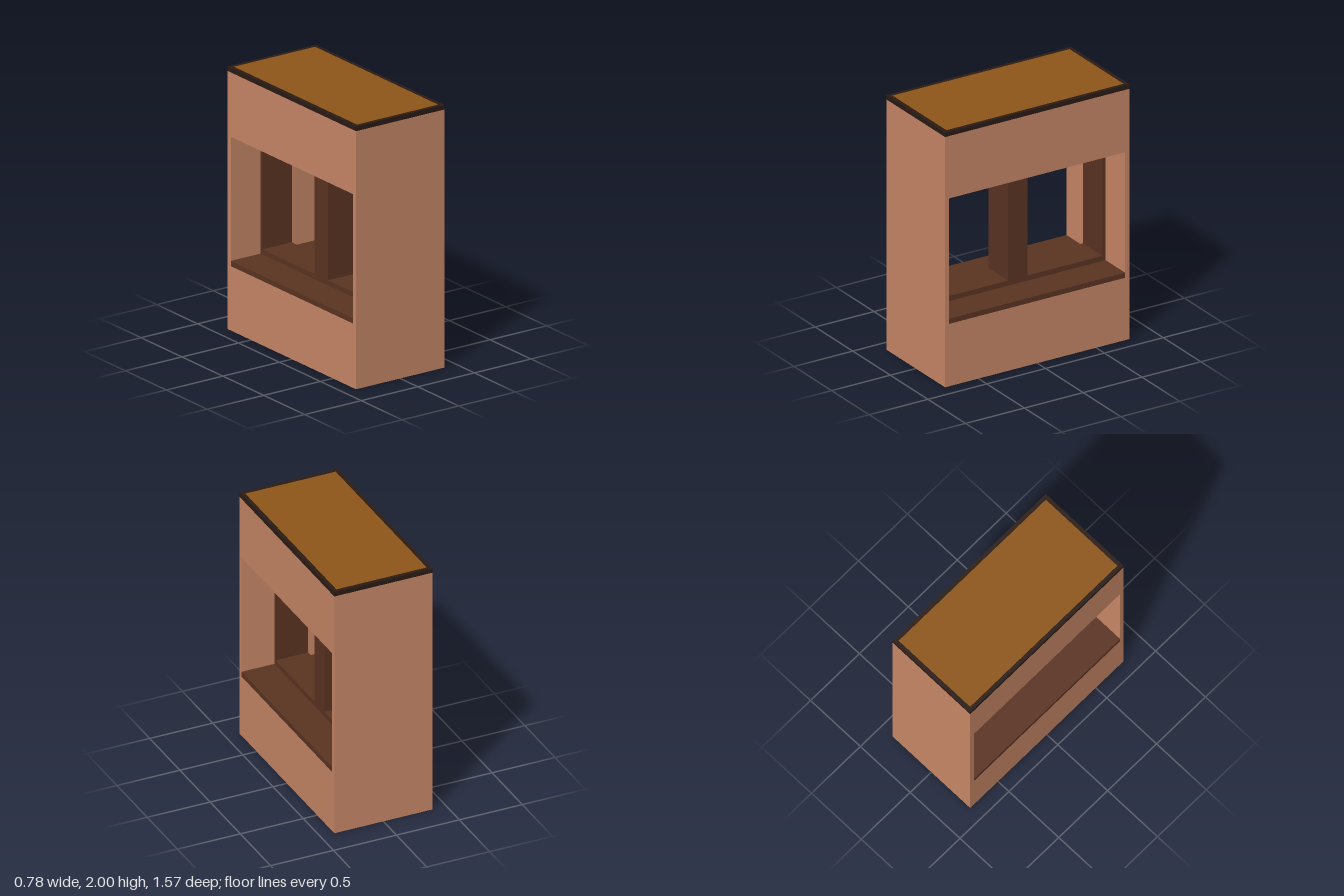
import * as THREE from 'three';

const mat = (color) => new THREE.MeshStandardMaterial({ color, flatShading: true });

// Rectangle outline [x0, y0, x1, y1]
function trace(path, [x0, y0, x1, y1]) {
  path.moveTo(x0, y0);
  path.lineTo(x1, y0);
  path.lineTo(x1, y1);
  path.lineTo(x0, y1);
  path.closePath();
  return path;
}

// Rectangular plate with rectangular holes, centred on its depth
function plate(outer, holes, depth) {
  const shape = trace(new THREE.Shape(), outer);
  shape.holes = holes.map((h) => trace(new THREE.Path(), h));
  return new THREE.ExtrudeGeometry(shape, { depth, bevelEnabled: false }).translate(0, 0, -depth / 2);
}

export function createModel() {
  const model = new THREE.Group();
  const add = (name, geometry, material) => {
    const mesh = new THREE.Mesh(geometry, material);
    mesh.name = name;
    model.add(mesh);
  };
  const plaster = mat(0xc98868);
  const wood = mat(0x5b3422);
  const trim = mat(0x2b1b14);
  const floor = mat(0x8f571a);

  const W = 0.78, L = 1.568, H = 2, capY = 1.965;
  const z0 = -0.746, z1 = 0.75;             // window opening along the wall
  const sillY = 0.49, frameY = 0.53, headY = 1.475;

  // Thick wall with the opening cut through it
  add('wall', plate([-L / 2, 0, L / 2, capY], [[z0, sillY, z1, headY]], W).rotateY(-Math.PI / 2), plaster);

  // Sill board through the full depth of the wall
  add('sill', new THREE.BoxGeometry(W, frameY - sillY, z1 - z0)
    .translate(0, (sillY + frameY) / 2, (z0 + z1) / 2), wood);

  // Two-light frame set in the middle third of the depth
  add('windowFrame', plate([z0, frameY, z1, headY],
    [[-0.72, 0.57, -0.082, 1.42], [0.082, 0.57, 0.73, 1.42]], 0.26).rotateY(-Math.PI / 2), wood);

  // Dark rim around the top, with a flush panel inside it
  const r = 0.031, x = W / 2, z = L / 2, t = H - capY;
  add('topRim', plate([-x, -z, x, z], [[-x + r, -z + r, x - r, z - r]], t)
    .rotateX(-Math.PI / 2).translate(0, H - t / 2, 0), trim);
  add('topPanel', new THREE.BoxGeometry(W - 2 * r, t, L - 2 * r).translate(0, H - t / 2, 0), floor);

  return model;
}
